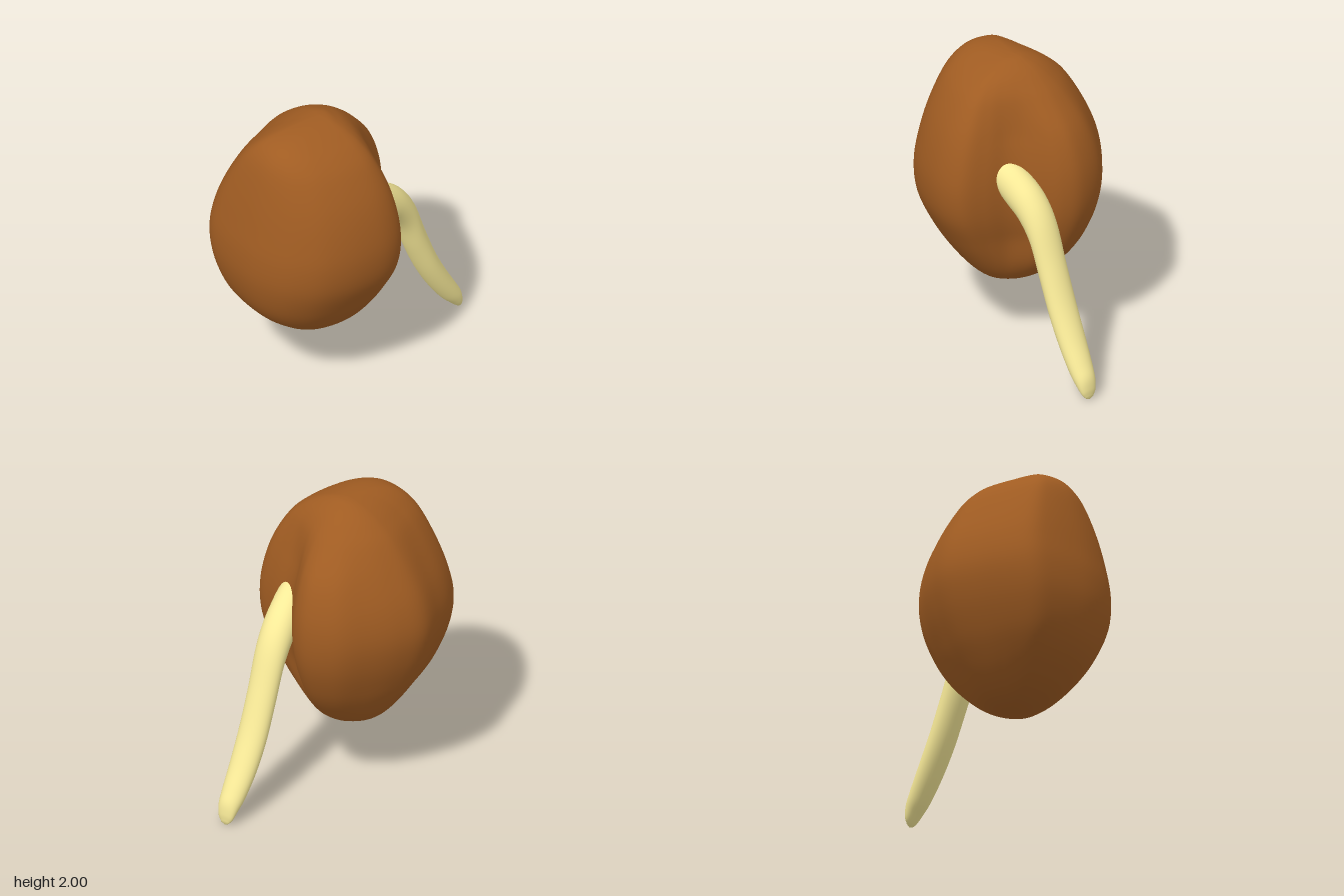
import * as THREE from 'three';

const V = (x, y, z) => new THREE.Vector3(x, y, z);
const smooth = (pts, closed = false) => new THREE.CatmullRomCurve3(pts, closed, 'catmullrom', 0.5);

// Smooth closed skin over rings of equal length, with a pole at each end
function skin(rings, start, end) {
  const n = rings[0].length, last = (rings.length - 1) * n;
  const points = [...rings.flat(), start, end];
  const s = points.length - 2, e = points.length - 1;
  const index = [];
  for (let j = 0; j < n; j++) {
    const k = (j + 1) % n;
    index.push(s, j, k, e, last + k, last + j);
    for (let i = 0; i < last; i += n) {
      index.push(i + j, i + n + j, i + n + k, i + j, i + n + k, i + k);
    }
  }
  const geometry = new THREE.BufferGeometry().setFromPoints(points);
  geometry.setIndex(index);
  geometry.computeVertexNormals();
  return geometry;
}

function part(name, geometry, color) {
  const mesh = new THREE.Mesh(geometry, new THREE.MeshStandardMaterial({ color }));
  mesh.name = name;
  return mesh;
}

// Seed: a notched plan outline, scaled per level, its hollows filling out towards both poles
function seedGeometry() {
  const cx = -0.2, top = 2, bottom = 0.415;
  const outline = smooth([
    [-0.2, -0.62], [-0.42, -0.57], [-0.61, -0.52], [-0.765, -0.43], [-0.825, -0.27],
    [-0.85, 0], [-0.812, 0.215], [-0.735, 0.365], [-0.612, 0.485], [-0.42, 0.574],
    [-0.2, 0.615], [-0.04, 0.57], [0.035, 0.43], [0.08, 0.29], [0.145, 0.195],
    [0.24, 0.12], [0.335, 0.03], [0.375, -0.1], [0.315, -0.29], [0.165, -0.432], [-0.015, -0.555],
  ].map(([x, z]) => V(x, 0, z)), true).getPoints(126).slice(0, -1)
    .map(({ x, z }) => [(x - cx) / (x < cx ? 0.65 : 0.575), z / (z > 0 ? 0.615 : 0.62)]);

  // y, left x, right x, front z, back z
  const levels = [
    [top, cx, cx, 0, 0], [1.993, -0.36, -0.145, 0.07, -0.055],
    [1.975, -0.49, -0.1, 0.135, -0.115], [1.94, -0.59, -0.035, 0.22, -0.19],
    [1.88, -0.66, 0.04, 0.32, -0.275], [1.78, -0.712, 0.14, 0.42, -0.375],
    [1.6, -0.765, 0.28, 0.525, -0.49], [1.4, -0.81, 0.355, 0.59, -0.582],
    [1.2, -0.845, 0.377, 0.615, -0.617], [1.0, -0.845, 0.352, 0.585, -0.58],
    [0.8, -0.795, 0.275, 0.485, -0.495], [0.65, -0.705, 0.18, 0.39, -0.4],
    [0.525, -0.57, 0.06, 0.29, -0.3], [0.452, -0.44, -0.035, 0.195, -0.21],
    [0.42, -0.32, -0.115, 0.095, -0.115], [bottom, cx, cx, 0, 0],
  ];
  const near = smooth(levels.map(([y, xl, , zf]) => V(xl, y, zf)));
  const far = smooth(levels.map(([y, , xr, , zb]) => V(xr, y, zb)));
  const rings = [];
  const steps = 75;
  for (let i = 1; i < steps; i++) {
    const a = near.getPoint(i / steps), b = far.getPoint(i / steps);
    const notch = THREE.MathUtils.smoothstep(Math.min(top - a.y, a.y - bottom), -0.12, 0.45);
    rings.push(outline.map(([u, v]) => {
      const k = THREE.MathUtils.lerp(Math.max(1, 1 / Math.hypot(u, v)), 1, notch);
      return V(cx + u * k * (u < 0 ? cx - a.x : b.x - cx), a.y, v * k * (v > 0 ? a.z : -b.z));
    }));
  }
  return skin(rings, V(cx, top, 0), V(cx, bottom, 0));
}

// Sprout: oval sections between an upper and a lower edge, tapering to the tip
function sproutGeometry() {
  // upper x, y, lower x, y, middle z, half depth
  const stations = [
    [0.045, 1.395, 0.045, 1.24, 0.27, 0.075], [0.075, 1.405, 0.075, 1.16, 0.253, 0.1],
    [0.17, 1.36, 0.12, 1.105, 0.233, 0.112], [0.3, 1.255, 0.22, 1.03, 0.218, 0.113],
    [0.405, 1.1, 0.315, 0.9, 0.21, 0.108], [0.505, 0.84, 0.4, 0.685, 0.207, 0.103],
    [0.605, 0.59, 0.5, 0.46, 0.207, 0.102], [0.705, 0.39, 0.6, 0.28, 0.21, 0.096],
    [0.79, 0.24, 0.7, 0.135, 0.216, 0.084], [0.835, 0.155, 0.77, 0.06, 0.22, 0.07],
    [0.848, 0.08, 0.81, 0.02, 0.22, 0.053], [0.845, 0.025, 0.83, 0.004, 0.22, 0.028],
  ];
  const upper = smooth(stations.map(([x, y, , , z]) => V(x, y, z)));
  const lower = smooth(stations.map(([, , x, y, , b]) => V(x, y, b)));
  const rings = [];
  for (let i = 0; i <= 66; i++) {
    const u = upper.getPoint(i / 66), l = lower.getPoint(i / 66), ring = [];
    for (let j = 0; j < 32; j++) {
      const t = j / 32 * Math.PI * 2, k = (1 - Math.cos(t)) / 2;
      ring.push(V(l.x + (u.x - l.x) * k, l.y + (u.y - l.y) * k, u.z + l.z * Math.sin(t)));
    }
    rings.push(ring);
  }
  return skin(rings, V(0.035, 1.32, 0.275), V(0.838, 0, 0.22));
}

export function createModel() {
  const model = new THREE.Group();
  model.name = 'sproutingSeed';
  model.add(part('seed', seedGeometry(), 0xa05c22));
  model.add(part('sprout', sproutGeometry(), 0xf8ea98));
  return model;
}
